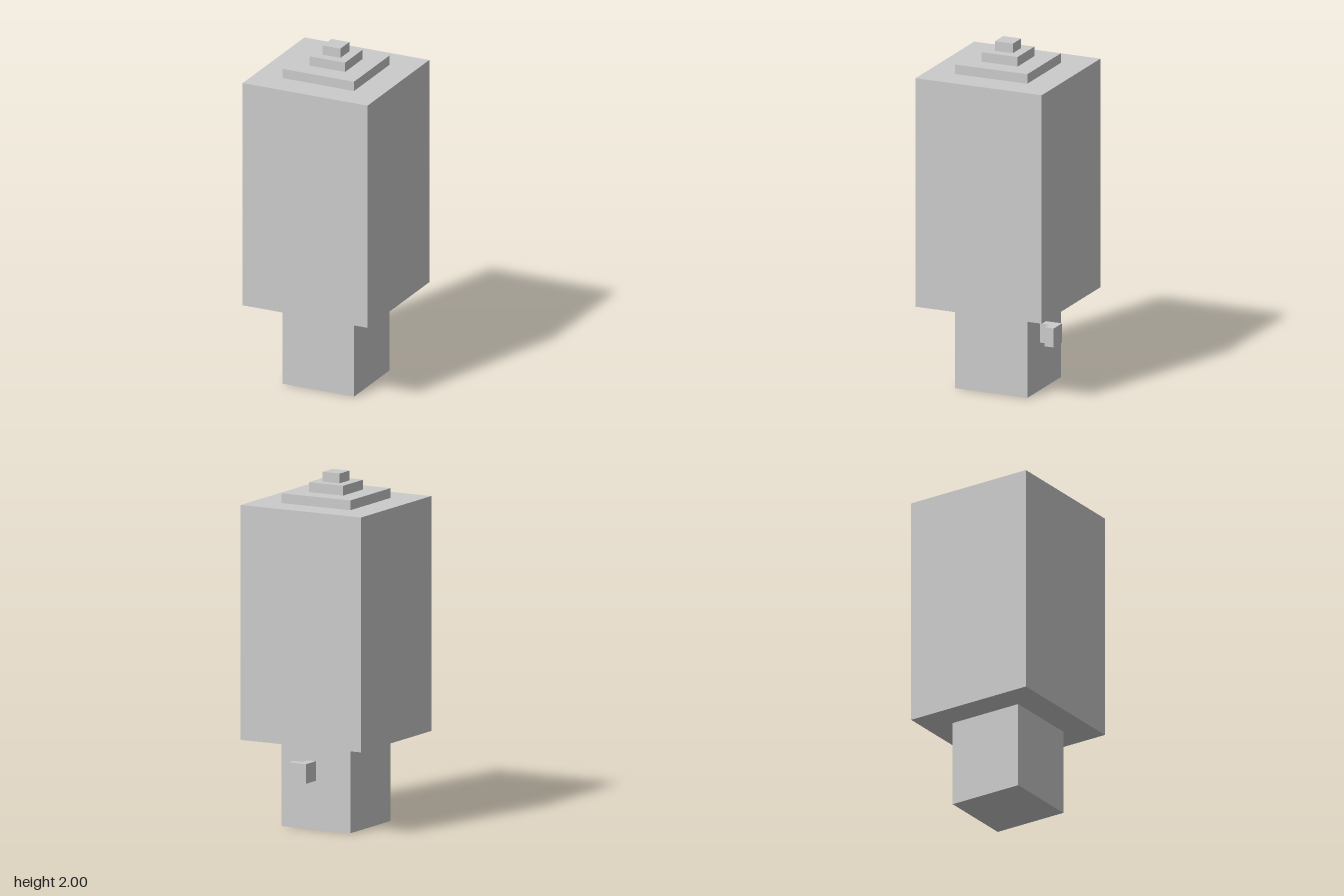
import * as THREE from 'three';

// The whole model sits on a grid of 36 units in 2 units of height.
const U = 2 / 36;

export function createModel() {
  const group = new THREE.Group();
  const material = new THREE.MeshStandardMaterial({ color: 0xcccccc, flatShading: true });

  // Box given by its grid size, bottom height and centre
  function block(name, w, h, d, bottom, x = 0, z = 0) {
    const mesh = new THREE.Mesh(new THREE.BoxGeometry(w * U, h * U, d * U), material);
    mesh.position.set(x * U, (bottom + h / 2) * U, z * U);
    mesh.name = name;
    group.add(mesh);
  }

  // Square post carrying the large body
  block('basePost', 8, 9, 8, 0);
  block('body', 14, 24, 14, 9);

  // Stepped cap
  [8, 4, 2].forEach((size, i) => block(`capStep${i + 1}`, size, 1, size, 33 + i));

  // L-shaped handle on the back of the post, extruded upwards from its plan
  const plan = new THREE.Shape([
    [0, 4], [1, 4], [1, 5], [2, 5], [2, 6], [0, 6],
  ].map(([x, back]) => new THREE.Vector2(x * U, back * U)));
  const geometry = new THREE.ExtrudeGeometry(plan, { depth: 2 * U, bevelEnabled: false });
  geometry.rotateX(-Math.PI / 2);
  const handle = new THREE.Mesh(geometry, material);
  handle.position.y = 5 * U;
  handle.name = 'backHandle';
  group.add(handle);

  return group;
}
